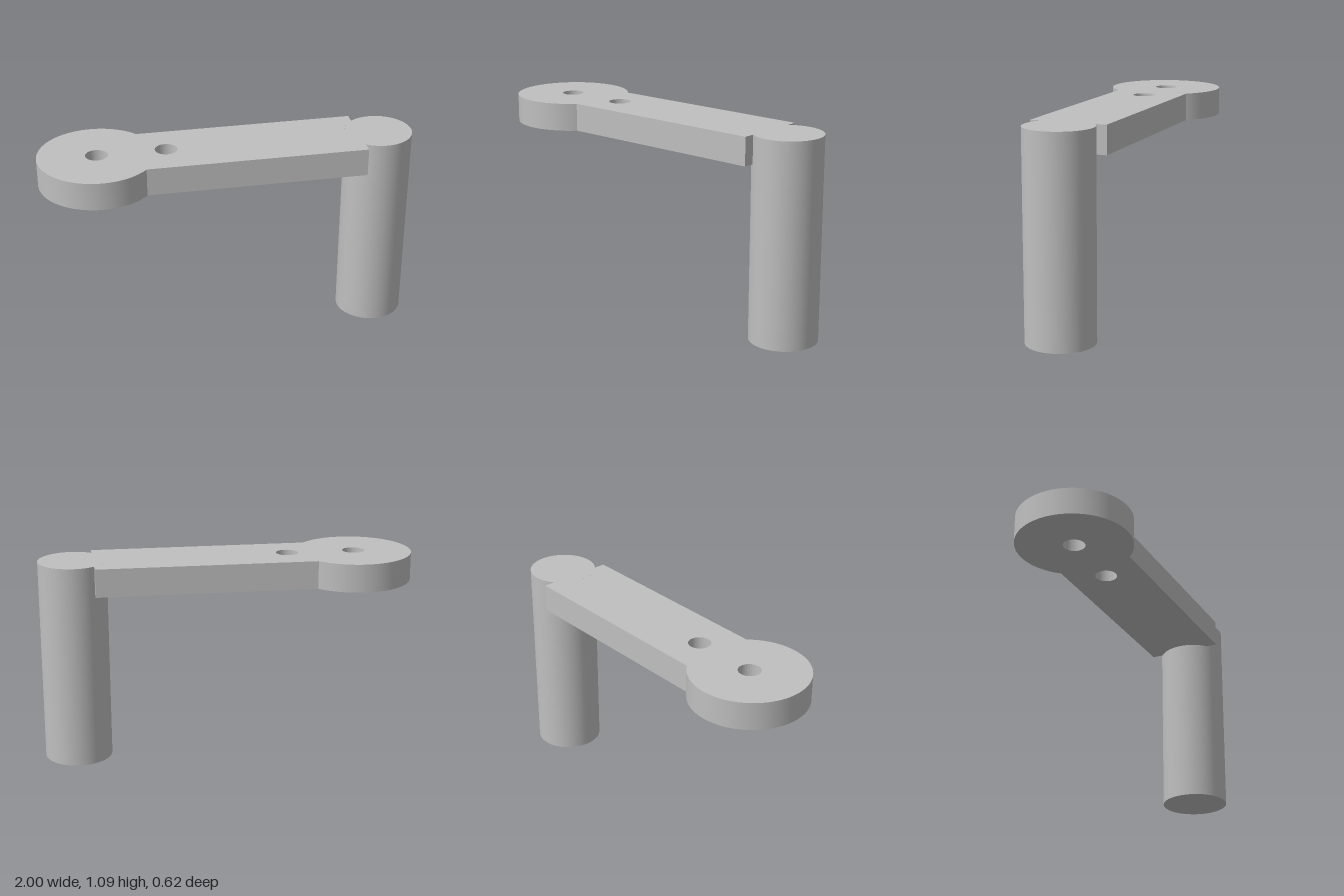
import * as THREE from 'three';
import { toCreasedNormals } from 'three/addons/utils/BufferGeometryUtils.js';

const DISC = { x: -0.69, r: 0.31 };
const POST = { x: 0.819, r: 0.181 };
const HALF_WIDTH = 0.205, ARM_END = 0.71;
const ARM_BOTTOM = 0.94, TOP = 1.09;

export function createModel() {
  const group = new THREE.Group();
  const steel = new THREE.MeshStandardMaterial({ color: 0xbfbfbf });
  steel.name = 'plain grey';

  // Crank arm: round hub, straight bar and a hollow seat hugging the post
  const hubAngle = Math.asin(HALF_WIDTH / DISC.r);
  const seatAngle = Math.acos((POST.x - ARM_END) / POST.r);
  const outline = new THREE.Shape();
  outline.absarc(DISC.x, 0, DISC.r, hubAngle, Math.PI * 2 - hubAngle, false);
  outline.lineTo(ARM_END, -HALF_WIDTH);
  outline.absarc(POST.x, 0, POST.r, Math.PI + seatAngle, Math.PI - seatAngle, true);
  outline.lineTo(ARM_END, HALF_WIDTH);
  outline.closePath();

  // Two through holes
  for (const x of [DISC.x, -0.327]) {
    outline.holes.push(new THREE.Path().absarc(x, 0, 0.059, 0, Math.PI * 2, true));
  }

  const armGeometry = new THREE.ExtrudeGeometry(outline, {
    depth: TOP - ARM_BOTTOM, bevelEnabled: false, curveSegments: 48,
  });
  armGeometry.rotateX(-Math.PI / 2);
  const arm = new THREE.Mesh(toCreasedNormals(armGeometry, Math.PI / 6), steel);
  arm.name = 'crankArm';
  arm.position.y = ARM_BOTTOM;
  group.add(arm);

  // Upright handle post
  const post = new THREE.Mesh(new THREE.CylinderGeometry(POST.r, POST.r, TOP, 64), steel);
  post.name = 'handlePost';
  post.position.set(POST.x, TOP / 2, 0);
  group.add(post);

  return group;
}
